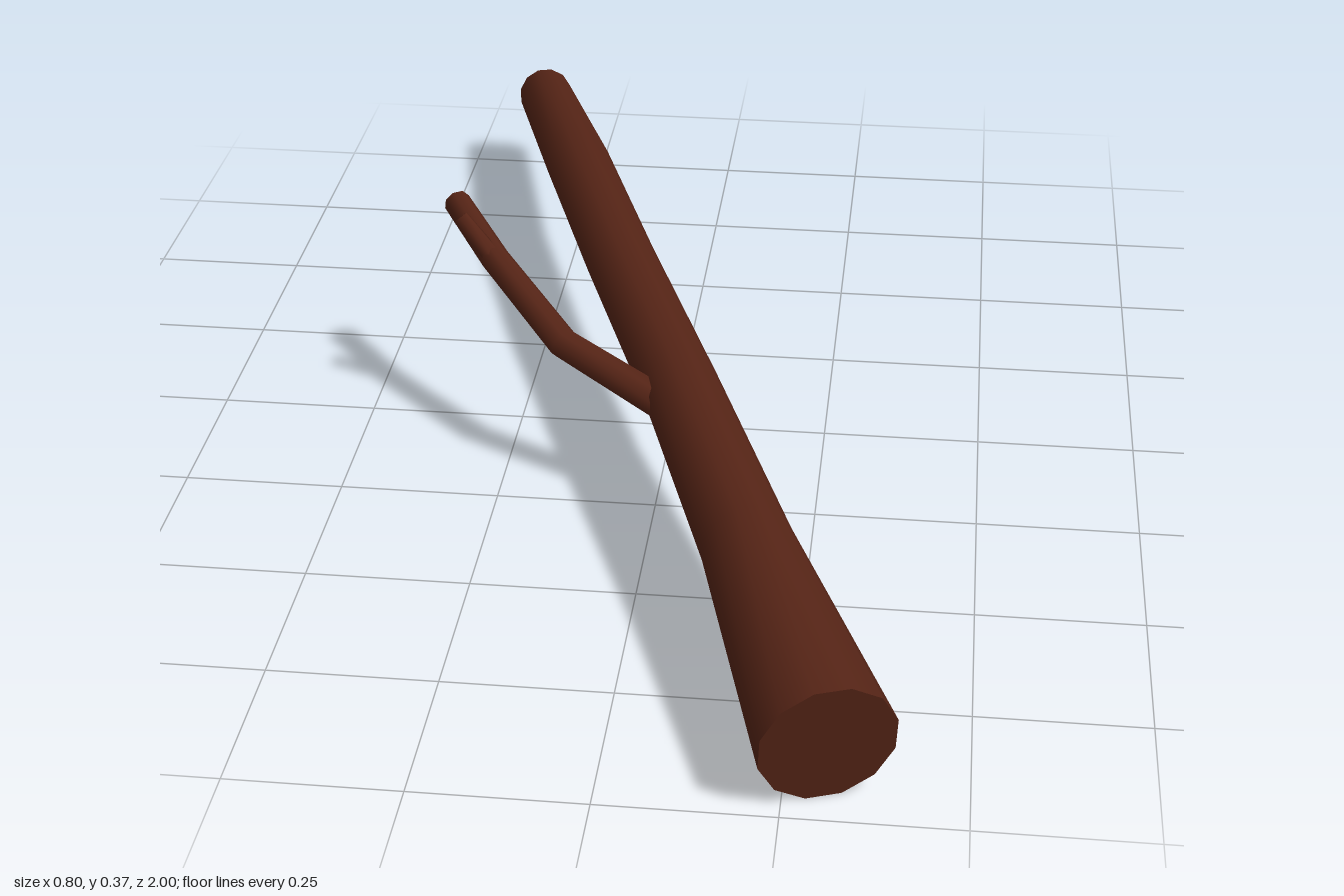
import * as THREE from 'three';

const bark = new THREE.MeshStandardMaterial({ color: 0x552416, roughness: 0.9 });

// Tapered limb: smooth skin through rings at [x, y, z, radius], with flat caps at both ends
function limb(name, stations, sides) {
  const points = stations.map(([x, y, z]) => new THREE.Vector3(x, y, z));
  const last = points.length - 1;
  const positions = [];
  const index = [];
  const rings = points.map((p, i) => {
    const dir = new THREE.Vector3();
    if (i > 0) dir.add(p.clone().sub(points[i - 1]).normalize());
    if (i < last) dir.add(points[i + 1].clone().sub(p).normalize());
    dir.normalize();
    const side = new THREE.Vector3(0, 1, 0).cross(dir).normalize();
    const up = dir.clone().cross(side);
    return Array.from({ length: sides }, (_, k) => {
      const a = ((k + 0.5) / sides) * Math.PI * 2;
      return p.clone()
        .addScaledVector(side, Math.cos(a) * stations[i][3])
        .addScaledVector(up, Math.sin(a) * stations[i][3]);
    });
  });

  // skin
  rings.forEach((ring) => ring.forEach((v) => positions.push(v.x, v.y, v.z)));
  for (let i = 0; i < last; i++) {
    for (let k = 0; k < sides; k++) {
      const a = i * sides + k;
      const b = i * sides + ((k + 1) % sides);
      index.push(a, b, b + sides, a, b + sides, a + sides);
    }
  }

  // cut ends, on their own vertices so the rim stays sharp
  [0, last].forEach((r) => {
    const start = positions.length / 3;
    rings[r].forEach((v) => positions.push(v.x, v.y, v.z));
    for (let k = 1; k < sides - 1; k++) {
      if (r === 0) index.push(start, start + k + 1, start + k);
      else index.push(start, start + k, start + k + 1);
    }
  });

  const geometry = new THREE.BufferGeometry();
  geometry.setAttribute('position', new THREE.Float32BufferAttribute(positions, 3));
  geometry.setIndex(index);
  geometry.computeVertexNormals();
  const mesh = new THREE.Mesh(geometry, bark);
  mesh.name = name;
  return mesh;
}

export function createModel() {
  const group = new THREE.Group();
  group.name = 'fallenBranch';

  // main stem, thick end at the front
  group.add(limb('mainStem', [
    [0.31, 0.098, 0.96, 0.098],
    [0.17, 0.155, 0.58, 0.068],
    [0.03, 0.192, 0.19, 0.06],
    [-0.11, 0.203, -0.2, 0.058],
    [-0.237, 0.201, -0.585, 0.057],
    [-0.358, 0.158, -0.985, 0.05],
  ], 12));

  // side shoot growing from the stem's right flank
  group.add(limb('sideShoot', [
    [0.01, 0.185, 0.245, 0.027],
    [-0.155, 0.232, 0.155, 0.025],
    [-0.285, 0.3, 0.01, 0.023],
    [-0.368, 0.339, -0.112, 0.022],
  ], 8));

  // small twig near the tip of the shoot
  group.add(limb('twig', [
    [-0.285, 0.3, 0.012, 0.016],
    [-0.342, 0.363, -0.006, 0.014],
  ], 6));

  return group;
}
